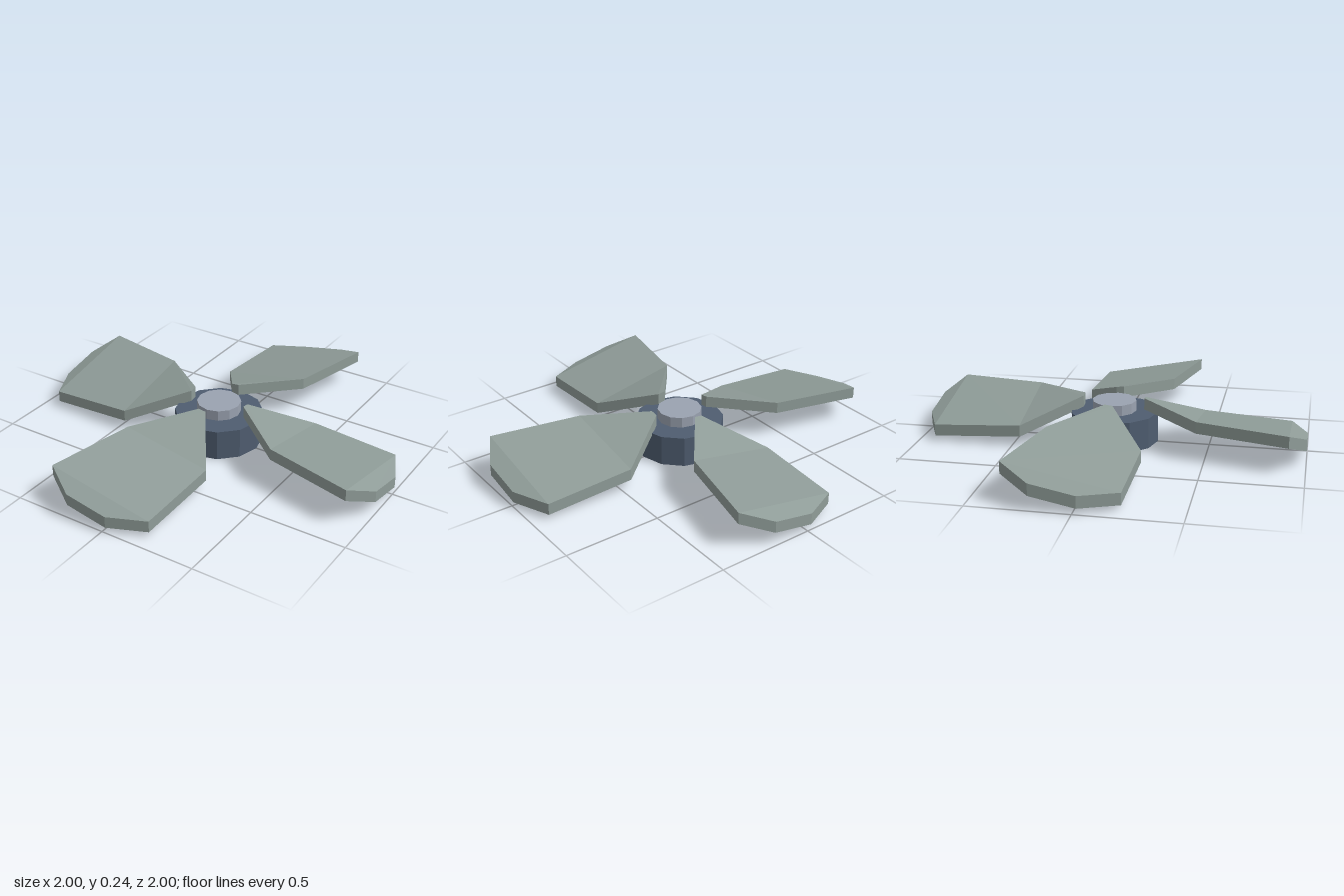
import * as THREE from 'three';

const material = (color) => new THREE.MeshStandardMaterial({ color, flatShading: true });

// One twisted blade along +x, lofted through four-cornered sections
function bladeGeometry() {
  const thickness = 0.06;
  // x, low edge z and top y, high edge z and top y
  const sections = [
    [0.16, -0.02, 0.232, 0.02, 0.237],
    [0.455, -0.218, 0.114, 0.25, 0.205],
    [0.915, -0.207, 0.086, 0.35, 0.195],
    [1.0, -0.02, 0.09, 0.2, 0.133],
  ];
  const positions = [];
  for (const [x, zLow, yLow, zHigh, yHigh] of sections) {
    positions.push(x, yLow, zLow, x, yHigh, zHigh);
    positions.push(x, yHigh - thickness, zHigh, x, yLow - thickness, zLow);
  }
  const index = [];
  const quad = (a, b, c, d) => index.push(a, b, c, a, c, d);
  for (let i = 0; i < sections.length - 1; i++) {
    for (let j = 0; j < 4; j++) {
      const k = (j + 1) % 4;
      quad(i * 4 + j, i * 4 + k, i * 4 + 4 + k, i * 4 + 4 + j);
    }
  }
  // Root and tip ends
  const tip = (sections.length - 1) * 4;
  quad(0, 3, 2, 1);
  quad(tip, tip + 1, tip + 2, tip + 3);

  const indexed = new THREE.BufferGeometry();
  indexed.setAttribute('position', new THREE.Float32BufferAttribute(positions, 3));
  indexed.setIndex(index);
  const geometry = indexed.toNonIndexed();
  geometry.computeVertexNormals();
  return geometry;
}

// Upright faceted cylinder between two heights
function drum(name, radius, bottom, top, color) {
  const geometry = new THREE.CylinderGeometry(radius, radius, top - bottom, 12);
  const mesh = new THREE.Mesh(geometry, material(color));
  mesh.name = name;
  mesh.position.y = (bottom + top) / 2;
  return mesh;
}

export function createModel() {
  const model = new THREE.Group();
  model.name = 'propeller';

  // Hub and its raised cap
  model.add(drum('hub', 0.23, 0, 0.16, 0x4f5d70));
  model.add(drum('hubCap', 0.115, 0.16, 0.215, 0x9aa2b0));

  // Four blades around the hub
  const geometry = bladeGeometry();
  const bladeMaterial = material(0x8f9c98);
  for (let i = 0; i < 4; i++) {
    const blade = new THREE.Mesh(geometry, bladeMaterial);
    blade.name = `blade${i + 1}`;
    blade.rotation.y = (i * Math.PI) / 2;
    model.add(blade);
  }
  return model;
}
